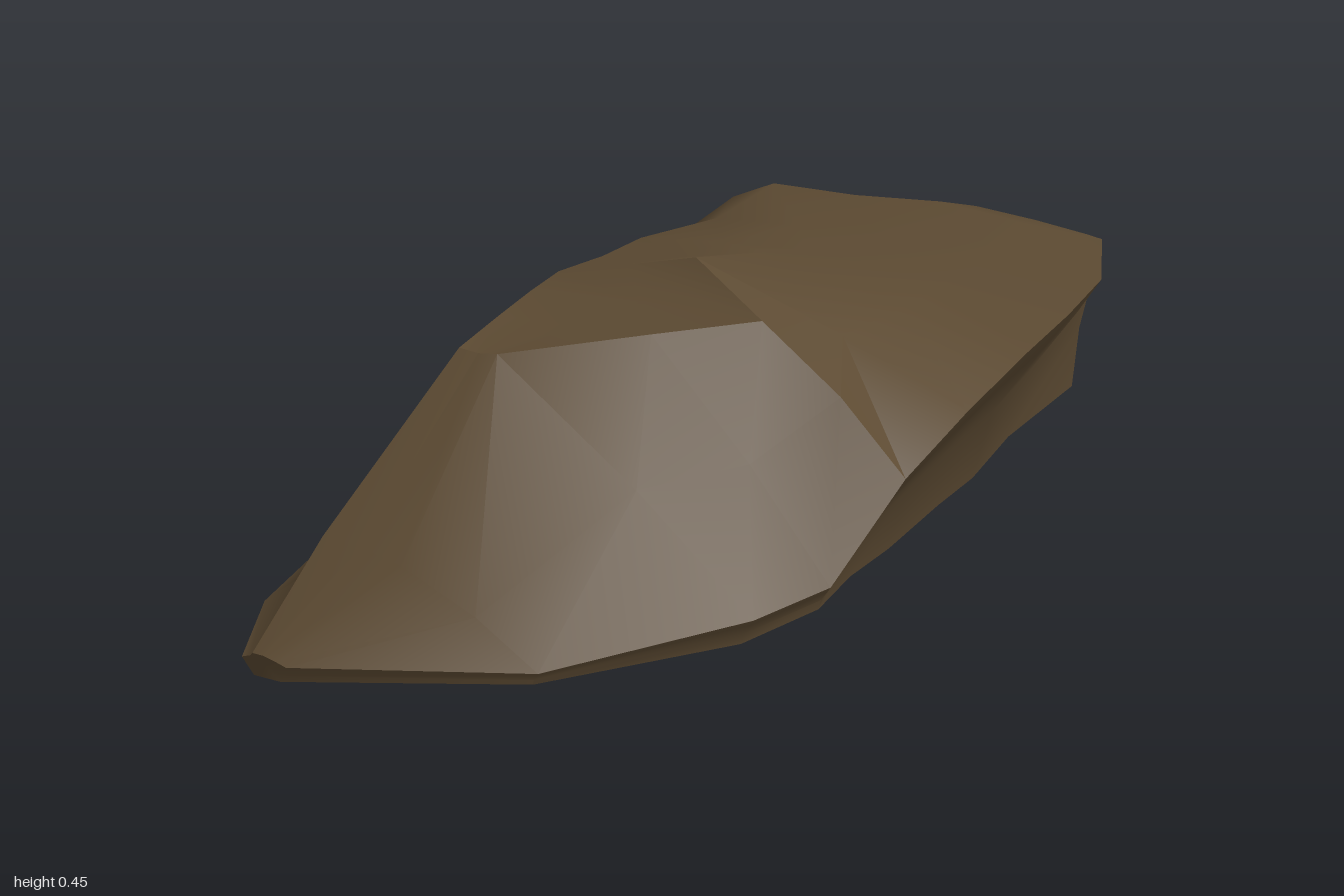
import * as THREE from 'three';
import { toCreasedNormals } from 'three/addons/utils/BufferGeometryUtils.js';

// Each slice: z | left foot x,y | left top edge x,y | crest x,y | right rim x,y
const slices = [
  [0.99, -0.3, 0.04, -0.28, 0.05, -0.26, 0.05, -0.22, 0.04],
  [0.84, -0.38, 0.05, -0.26, 0.18, -0.12, 0.16, 0.11, 0.04],
  [0.56, -0.45, 0.05, -0.2, 0.4, -0.13, 0.4, 0.31, 0.05],
  [0.42, -0.42, 0.06, -0.22, 0.41, 0.06, 0.42, 0.37, 0.06],
  [0.28, -0.36, 0.08, -0.25, 0.41, 0.18, 0.42, 0.43, 0.2],
  [0.13, -0.35, 0.1, -0.29, 0.4, -0.02, 0.46, 0.47, 0.27],
  [-0.05, -0.36, 0.1, -0.31, 0.38, 0.02, 0.43, 0.5, 0.32],
  [-0.22, -0.4, 0.1, -0.33, 0.37, 0.02, 0.39, 0.51, 0.34],
  [-0.45, -0.48, 0.12, -0.29, 0.36, 0.05, 0.365, 0.49, 0.34],
  [-0.75, -0.51, 0.18, -0.32, 0.36, 0.05, 0.365, 0.39, 0.33],
  [-0.95, -0.17, 0.17, -0.1, 0.29, 0.05, 0.31, 0.29, 0.28],
  [-1, 0, 0.15, 0.01, 0.25, 0.06, 0.27, 0.14, 0.24],
];

const mix = (a, b, t) => a + (b - a) * t;

// Closed outline of one slice, running up the left, over the top and down the right
function outline([z, lx, ly, tx, ty, cx, cy, rx, ry], i) {
  // The left wall is hollow in front, steep in the middle and bulging at the back
  const [u, v] = z > 0.2 ? [0.8, 0.55] : z > -0.3 ? [0.4, 0.6] : [0.5, 0.78];
  const base = z < -0.9 ? 0.06 : 0.015 + 0.008 * Math.sin(i * 2.3);
  const bump = 0.006 * Math.sin(i * 1.9);
  const thick = ry - base;
  // The right wall is undercut, less so towards the back
  const bx = rx - thick * (z > -0.6 ? 0.5 : 0.15);
  return [
    [lx + 0.02, Math.max(base, ly - 0.09)],
    [lx, ly],
    [mix(lx, tx, u), mix(ly, ty, v)],
    [tx, ty],
    [mix(tx, cx, 0.5), mix(ty, cy, 0.5) + bump],
    [cx, cy],
    [mix(cx, rx, 0.55), mix(cy, ry, 0.5) + bump],
    [rx, ry],
    [mix(rx, bx, 0.25), ry - thick * 0.2],
    [mix(rx, bx, 0.8), ry - thick * 0.6],
    [bx, base],
    [mix(lx, bx, 0.5), base],
  ].map(([x, y]) => [x, y, z]);
}

function createSlab() {
  const rings = slices.map(outline);
  const n = rings[0].length;
  const positions = rings.flat(2);
  const index = [];
  // Skin between neighbouring slices
  for (let i = 0; i < rings.length - 1; i++) {
    for (let j = 0; j < n; j++) {
      const a = i * n + j;
      const b = i * n + ((j + 1) % n);
      index.push(a, b, a + n, b, b + n, a + n);
    }
  }
  // Close both ends with a fan
  [0, rings.length - 1].forEach((r, end) => {
    const centre = positions.length / 3;
    for (let k = 0; k < 3; k++) {
      positions.push(rings[r].reduce((sum, p) => sum + p[k], 0) / n);
    }
    for (let j = 0; j < n; j++) {
      const a = r * n + j;
      const b = r * n + ((j + 1) % n);
      if (end) index.push(centre, a, b);
      else index.push(centre, b, a);
    }
  });
  const geometry = new THREE.BufferGeometry();
  geometry.setAttribute('position', new THREE.Float32BufferAttribute(positions, 3));
  geometry.setIndex(index);
  return toCreasedNormals(geometry, 0.6);
}

export function createModel() {
  const group = new THREE.Group();
  group.name = 'rock';
  const brownStone = new THREE.MeshStandardMaterial({ color: 0x5c4a32 });
  brownStone.name = 'brownStone';
  const slab = new THREE.Mesh(createSlab(), brownStone);
  slab.name = 'rockSlab';
  group.add(slab);
  return group;
}
